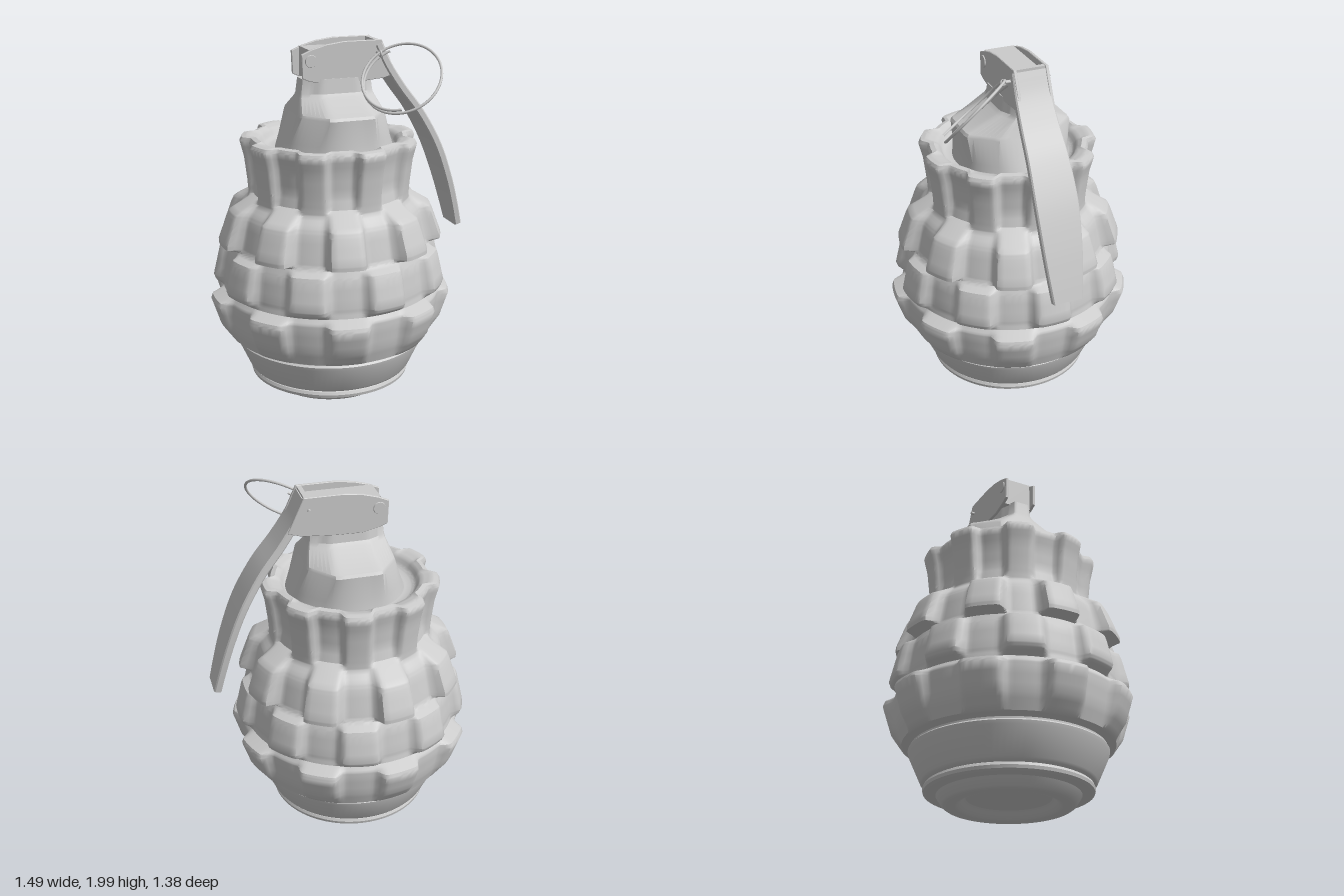
import * as THREE from 'three';
import { toCreasedNormals } from 'three/addons/utils/BufferGeometryUtils.js';

const grey = new THREE.MeshStandardMaterial({ color: 0xcccccc });
const AXIS = -0.06; // x of the body's axis

function add(parent, name, geo, x = 0, y = 0, z = 0) {
  const mesh = new THREE.Mesh(geo, grey);
  mesh.name = name;
  mesh.position.set(x, y, z);
  parent.add(mesh);
  return mesh;
}

// Skin over closed rings: point(j, i) returns [x, y, z]
function loft(rows, sides, point, crease) {
  const pos = [], idx = [];
  for (let j = 0; j < rows; j++)
    for (let i = 0; i < sides; i++) pos.push(...point(j, i));
  for (let j = 0; j < rows - 1; j++)
    for (let i = 0; i < sides; i++) {
      const k = (i + 1) % sides;
      const a = j * sides + i, b = a + sides, c = j * sides + k, d = c + sides;
      idx.push(a, b, c, b, d, c);
    }
  const geo = new THREE.BufferGeometry();
  geo.setAttribute('position', new THREE.Float32BufferAttribute(pos, 3));
  geo.setIndex(idx);
  return toCreasedNormals(geo, crease);
}

// Serrated shell: [y, valley radius, tooth radius, tooth phase]
function shellGeometry() {
  const profile = [
    [0.31, 0.54, 0.54, -1], [0.325, 0.58, 0.585, -1], [0.41, 0.61, 0.645, -1],
    [0.55, 0.63, 0.69, -1], [0.575, 0.63, 0.68, -1], [0.605, 0.61, 0.61, -1],
    [0.635, 0.605, 0.655, 1], [0.66, 0.605, 0.665, 1], [0.81, 0.585, 0.63, 1],
    [0.835, 0.575, 0.62, 1], [0.86, 0.565, 0.565, 1], [0.88, 0.555, 0.635, -1],
    [0.905, 0.55, 0.635, -1], [1.04, 0.52, 0.585, -1], [1.07, 0.505, 0.57, -1],
    [1.125, 0.455, 0.475, -1], [1.15, 0.43, 0.455, 1], [1.22, 0.415, 0.46, 1],
    [1.35, 0.425, 0.475, 1], [1.44, 0.445, 0.497, 1], [1.462, 0.435, 0.485, 1],
    [1.468, 0.41, 0.455, 1], [1.45, 0.385, 0.39, 1], [1.41, 0.36, 0.36, 1],
    [1.4, 0.34, 0.34, 1], [1.4, 0.25, 0.25, 1],
  ];
  const sides = 216, sub = 3;
  const radius = ([, valley, tooth, phase], a) =>
    THREE.MathUtils.lerp(valley, tooth, THREE.MathUtils.smoothstep(phase * Math.cos(9 * a), -0.4, 0.4));
  return loft((profile.length - 1) * sub + 1, sides, (j, i) => {
    const k = Math.min(Math.floor(j / sub), profile.length - 2), t = j / sub - k;
    const a = (i / sides) * Math.PI * 2;
    const r = THREE.MathUtils.lerp(radius(profile[k], a), radius(profile[k + 1], a), t);
    const y = THREE.MathUtils.lerp(profile[k][0], profile[k + 1][0], t);
    return [r * Math.cos(a), y, r * Math.sin(a)];
  }, 0.75);
}

// Turned base with a rolled foot and a recessed underside
function baseGeometry() {
  const p = [
    [0, 0.045], [0.23, 0.045], [0.25, 0.03], [0.27, 0.006], [0.29, 0], [0.345, 0],
    [0.36, 0.01], [0.39, 0.055], [0.44, 0.06], [0.458, 0.068], [0.462, 0.085],
    [0.455, 0.1], [0.445, 0.105], [0.465, 0.112], [0.475, 0.125], [0.54, 0.27],
    [0.545, 0.29], [0.535, 0.3], [0.535, 0.31], [0.56, 0.318], [0.57, 0.328], [0.5, 0.335],
  ];
  return loft(p.length, 96, (j, i) => {
    const a = (i / 96) * Math.PI * 2;
    return [p[j][0] * Math.cos(a), p[j][1], p[j][0] * Math.sin(a)];
  }, 0.6);
}

// Cap: round at the foot, blending into a flat-sided shoulder and narrow neck
function capGeometry() {
  // y, half width in x, half depth in z, squareness (0 round, 1 chamfered)
  const s = [
    [1.39, 0.335, 0.32, 0], [1.46, 0.305, 0.308, 0.3], [1.6, 0.245, 0.305, 1], [1.615, 0.24, 0.295, 1],
    [1.69, 0.215, 0.12, 1], [1.71, 0.21, 0.1, 1], [1.79, 0.2, 0.09, 1], [1.79, 0, 0, 1],
  ];
  const sides = 64;
  return loft(s.length, sides, (j, i) => {
    const [y, hx, hz, q] = s[j];
    const a = (i / sides) * Math.PI * 2, c = Math.cos(a), n = Math.sin(a);
    const oct = 1 / Math.max(Math.abs(c), Math.abs(n), (Math.abs(c) + Math.abs(n)) / 1.5);
    const r = THREE.MathUtils.lerp(1, oct, q);
    return [hx * r * c, y, hz * r * n];
  }, 0.5);
}

// Curved lever, widest at its middle: [x, y, half width]
function leverGeometry() {
  const path = new THREE.CatmullRomCurve3([
    [0.2, 1.965, 0.096], [0.255, 1.85, 0.1], [0.34, 1.72, 0.106], [0.45, 1.575, 0.114], [0.56, 1.38, 0.12],
    [0.64, 1.17, 0.112], [0.69, 1.0, 0.098], [0.722, 0.875, 0.084],
  ].map((p) => new THREE.Vector3(...p)));
  const n = 40, h = 0.021, b = 0.007;
  const bar = (j) => {
    const t = THREE.MathUtils.clamp((j - 1) / n, 0, 1);
    const p = path.getPoint(t), d = path.getTangent(t);
    d.z = 0;
    d.normalize();
    const e = j === 0 || j === n + 2 ? 0 : 1; // close both ends
    const w = p.z;
    return [[h, w - b], [h - b, w], [b - h, w], [-h, w - b], [-h, b - w], [b - h, -w], [h - b, -w], [h, b - w]]
      .map(([o, z]) => [p.x - d.y * o * e, p.y + d.x * o * e, z * e]);
  };
  const rows = Array.from({ length: n + 3 }, (_, j) => bar(j).reverse());
  return loft(rows.length, 8, (j, i) => rows[j][i], 0.6);
}

// Split ring: a flat coil of about one and a half turns
function ringGeometry() {
  const normal = new THREE.Vector3(-0.5, 0.68, 0.54).normalize();
  const u = new THREE.Vector3(-0.055, 0.11, -0.175);
  u.addScaledVector(normal, -u.dot(normal)).normalize();
  const v = normal.clone().cross(u);
  const pts = [];
  for (let i = 0; i <= 72; i++) {
    const t = i / 72, a = t * Math.PI * 2 * 1.45 - 0.25;
    pts.push(new THREE.Vector3()
      .addScaledVector(u, 0.215 * Math.cos(a))
      .addScaledVector(v, 0.215 * Math.sin(a))
      .addScaledVector(normal, -0.018 + 0.045 * t));
  }
  return new THREE.TubeGeometry(new THREE.CatmullRomCurve3(pts), 160, 0.0075, 8);
}

export function createModel() {
  const model = new THREE.Group();
  model.name = 'grenade';

  const body = new THREE.Group();
  body.name = 'body';
  body.position.x = AXIS;
  model.add(body);
  add(body, 'serratedShell', shellGeometry());
  add(body, 'base', baseGeometry());
  add(body, 'cap', capGeometry(), 0.03);

  // Lever head: two side plates around a sunken block
  const head = new THREE.Group();
  head.name = 'leverHead';
  head.position.z = -0.012;
  model.add(head);
  const outline = new THREE.Shape();
  [[-0.235, 1.8], [-0.2, 1.785], [-0.1, 1.762], [0.05, 1.765], [0.235, 1.78], [0.3, 1.8], [0.215, 1.985],
    [0.0, 1.985], [-0.1, 1.972], [-0.18, 1.95], [-0.24, 1.925]]
    .forEach(([x, y], i) => (i ? outline.lineTo(x, y) : outline.moveTo(x, y)));
  const plate = new THREE.ExtrudeGeometry(outline, {
    depth: 0.012, bevelEnabled: true, bevelSize: 0.003, bevelThickness: 0.003, bevelSegments: 1,
  });
  for (const side of [1, -1]) {
    add(head, 'sidePlate', plate, 0, 0, side * 0.089 - 0.006);
    add(head, 'rivet', new THREE.CylinderGeometry(0.032, 0.035, 0.008, 32), -0.19, 1.89, side * 0.1)
      .rotation.x = side * Math.PI / 2;
  }
  add(head, 'headBlock', new THREE.BoxGeometry(0.4, 0.17, 0.17), 0, 1.865, 0);
  add(head, 'headEndWall', new THREE.BoxGeometry(0.025, 0.17, 0.18), 0.2, 1.9, 0);

  add(model, 'lever', leverGeometry(), 0, 0, -0.003);

  // Safety pin with an eye holding the pull ring
  add(model, 'safetyPin', new THREE.CylinderGeometry(0.009, 0.009, 0.25, 12), 0.19, 1.92, -0.005)
    .rotation.x = Math.PI / 2;
  add(model, 'pinEye', new THREE.TorusGeometry(0.014, 0.006, 8, 20), 0.19, 1.92, 0.13)
    .rotation.y = Math.PI / 2;
  add(model, 'pullRing', ringGeometry(), 0.245, 1.81, 0.305);

  return model;
}
